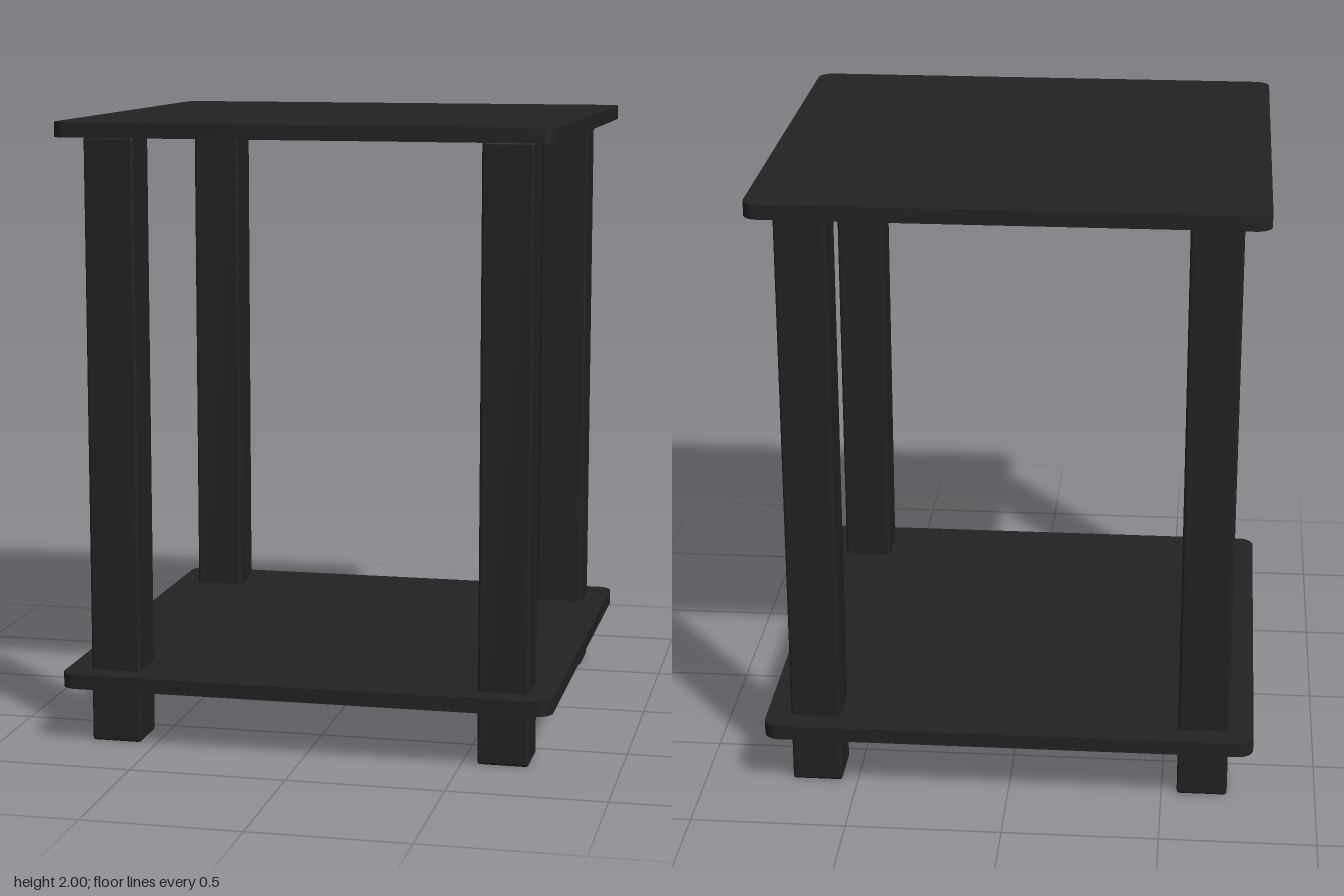
import * as THREE from 'three';
import { RoundedBoxGeometry } from 'three/addons/geometries/RoundedBoxGeometry.js';
import { toCreasedNormals } from 'three/addons/utils/BufferGeometryUtils.js';

const HALF = 0.794;       // half width of both boards
const CORNER = 0.05;      // corner radius of the boards
const THICK = 0.047;      // board thickness
const LEG_WIDTH = 0.163;
const LEG_OFFSET = 0.632; // leg centre from the middle axis
const TOP = 2;

// Square board with rounded corners, lying flat with its underside at y = 0
function boardGeometry() {
  const s = new THREE.Shape();
  const c = HALF - CORNER;
  s.absarc(c, c, CORNER, 0, Math.PI / 2);
  s.absarc(-c, c, CORNER, Math.PI / 2, Math.PI);
  s.absarc(-c, -c, CORNER, Math.PI, Math.PI * 1.5);
  s.absarc(c, -c, CORNER, Math.PI * 1.5, Math.PI * 2);
  s.closePath();
  const g = new THREE.ExtrudeGeometry(s, { depth: THICK, bevelEnabled: false, curveSegments: 8 });
  g.rotateX(-Math.PI / 2);
  return toCreasedNormals(g, 0.6);
}

export function createModel() {
  const model = new THREE.Group();
  model.name = 'sideTable';
  const black = new THREE.MeshStandardMaterial({ color: 0x222222 });
  black.name = 'matte black';

  // Table top and lower shelf
  const board = boardGeometry();
  for (const [name, y] of [['tableTop', TOP - THICK], ['lowerShelf', 0.19]]) {
    const mesh = new THREE.Mesh(board, black);
    mesh.name = name;
    mesh.position.y = y;
    model.add(mesh);
  }

  // Four square legs with softened edges, running through the shelf
  const legHeight = TOP - THICK;
  const leg = new RoundedBoxGeometry(LEG_WIDTH, legHeight, LEG_WIDTH, 2, 0.01);
  for (const [zName, z] of [['front', 1], ['back', -1]]) {
    for (const [xName, x] of [['Left', 1], ['Right', -1]]) {
      const mesh = new THREE.Mesh(leg, black);
      mesh.name = `${zName}${xName}Leg`;
      mesh.position.set(x * LEG_OFFSET, legHeight / 2, z * LEG_OFFSET);
      model.add(mesh);
    }
  }
  return model;
}
